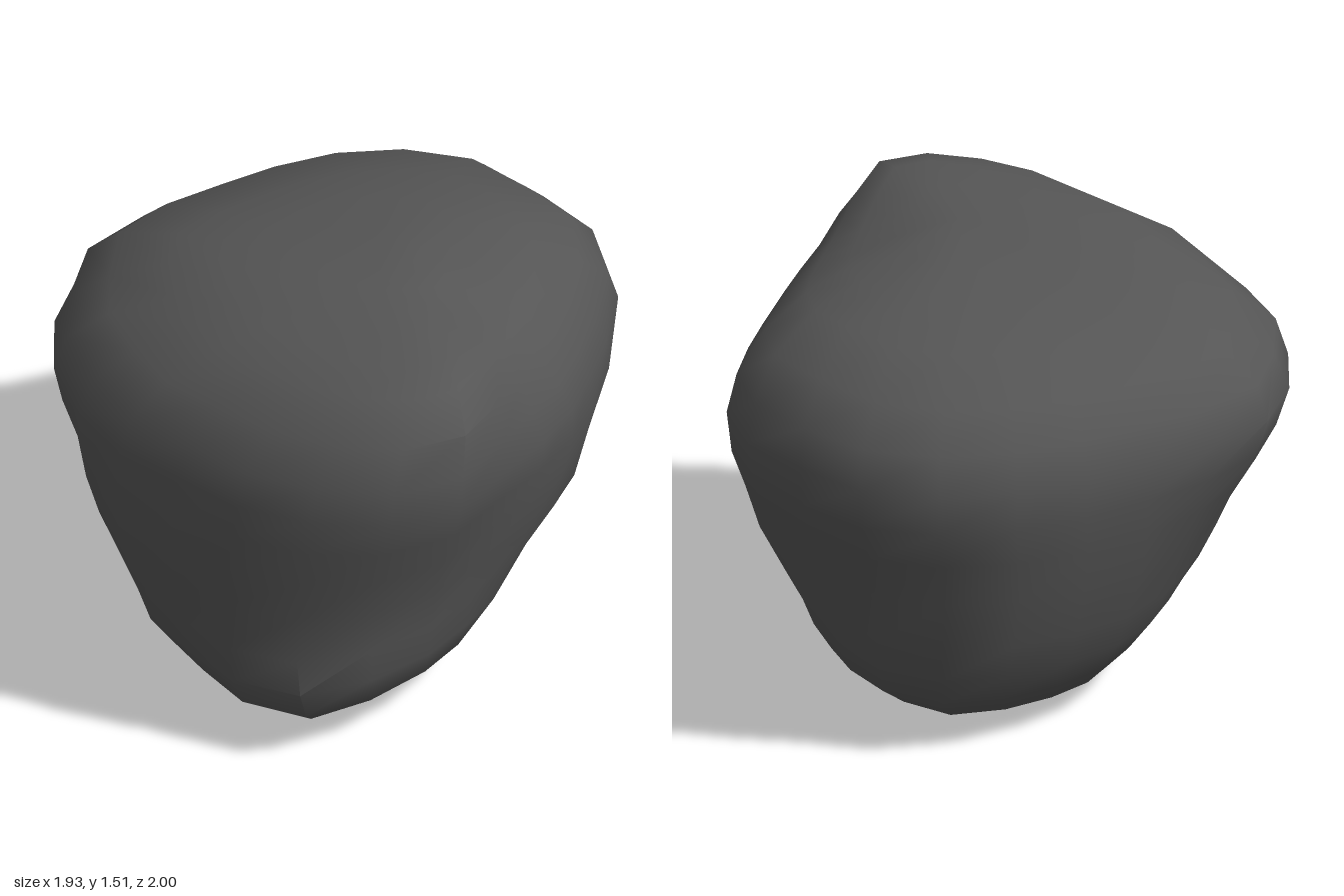
import * as THREE from 'three';
import { toCreasedNormals } from 'three/addons/utils/BufferGeometryUtils.js';

// Polar outlines every 15 degrees, from +x towards +z: foot, waist, crown
const OUTLINES = [
  [.57, .66, .78, .91, .88, .78, .73, .67, .6, .55, .56, .61, .67, .72, .78, .83, .76, .66, .58, .51, .45, .41, .43, .49],
  [.78, .87, .94, .98, .96, .92, .93, .9, .85, .81, .81, .84, .87, .9, .94, .97, .95, .9, .87, .84, .79, .77, .76, .77],
  [.86, .99, 1.04, 1.02, 1, .97, 1, 1.02, 1.05, 1.06, 1.06, 1, .95, .96, 1, 1.04, 1.06, 1.01, 1, .94, .87, .83, .82, .82],
];
const SIDES = OUTLINES[0].length;

// Rings: height, xMin, xMax, zMin, zMax, blend (0 foot, 1 waist, 2 crown)
const RINGS = [
  [.03, -.42, .33, -.45, .56, 0],
  [.09, -.6, .58, -.58, .7, 0],
  [.18, -.69, .68, -.7, .8, .15],
  [.3, -.77, .73, -.76, .87, .38],
  [.43, -.82, .74, -.81, .91, .62],
  [.62, -.88, .8, -.87, .97, 1],
  [.78, -.92, .86, -.93, 1, 1.35],
  [.92, -.95, .91, -.99, 1, 1.7],
  [1.06, -.97, .96, -1, 1, 1.95],
  [1.19, -.93, .96, -.96, .96, 2],
  [1.32, -.82, .94, -.84, .85, 2],
  [1.42, -.58, .84, -.64, .67, 2],
  [1.46, -.38, .72, -.42, .5, 2],
  [1.48, -.1, .5, -.2, .36, 2],
];

// Dents: centre, reach, depth
const DENTS = [
  [new THREE.Vector3(.65, 1.38, -.18), .38, .1],
  [new THREE.Vector3(.5, 1.4, -.52), .55, .11],
  [new THREE.Vector3(-.64, 1.3, .66), .25, .04],
  [new THREE.Vector3(-.27, 1.36, .78), .28, .05],
];

function ringPoints([y, x0, x1, z0, z1, blend]) {
  const low = OUTLINES[Math.min(Math.floor(blend), 1)];
  const high = OUTLINES[Math.min(Math.floor(blend), 1) + 1];
  const pts = low.map((radius, i) => {
    const r = THREE.MathUtils.lerp(radius, high[i], blend < 1 ? blend : blend - 1);
    const a = (i / SIDES) * Math.PI * 2;
    return new THREE.Vector3(r * Math.cos(a), y, r * Math.sin(a));
  });
  const box = new THREE.Box3().setFromPoints(pts);
  const tilt = 0.06 * THREE.MathUtils.smoothstep(y, 1.2, 1.45);
  for (const p of pts) {
    p.x = THREE.MathUtils.mapLinear(p.x, box.min.x, box.max.x, x0, x1);
    p.z = THREE.MathUtils.mapLinear(p.z, box.min.z, box.max.z, z0, z1);
    p.y += tilt * p.x;
    // Press the dents in towards the core
    for (const [centre, reach, depth] of DENTS) {
      const d = p.distanceTo(centre);
      if (d < reach) {
        const inward = new THREE.Vector3(0, .8, 0).sub(p).normalize();
        p.addScaledVector(inward, depth * (1 - d / reach));
      }
    }
  }
  return pts;
}

function boulderGeometry() {
  const points = RINGS.flatMap(ringPoints);
  const bottom = points.push(new THREE.Vector3(-.15, 0, -.1)) - 1;
  const top = points.push(new THREE.Vector3(.25, 1.505, .1)) - 1;
  const last = (RINGS.length - 1) * SIDES;
  const index = [];
  for (let i = 0; i < SIDES; i++) {
    const j = (i + 1) % SIDES;
    index.push(bottom, i, j);
    for (let k = 0; k < last; k += SIDES) {
      const a = k + i, b = k + j;
      index.push(a, a + SIDES, b, b, a + SIDES, b + SIDES);
    }
    index.push(last + i, top, last + j);
  }
  const geometry = new THREE.BufferGeometry().setFromPoints(points);
  geometry.setIndex(index);
  return toCreasedNormals(geometry, 0.8);
}

export function createModel() {
  const group = new THREE.Group();
  group.name = 'rock';
  const boulder = new THREE.Mesh(boulderGeometry(), new THREE.MeshStandardMaterial({ color: 0x555555 }));
  boulder.name = 'boulder';
  group.add(boulder);
  return group;
}
